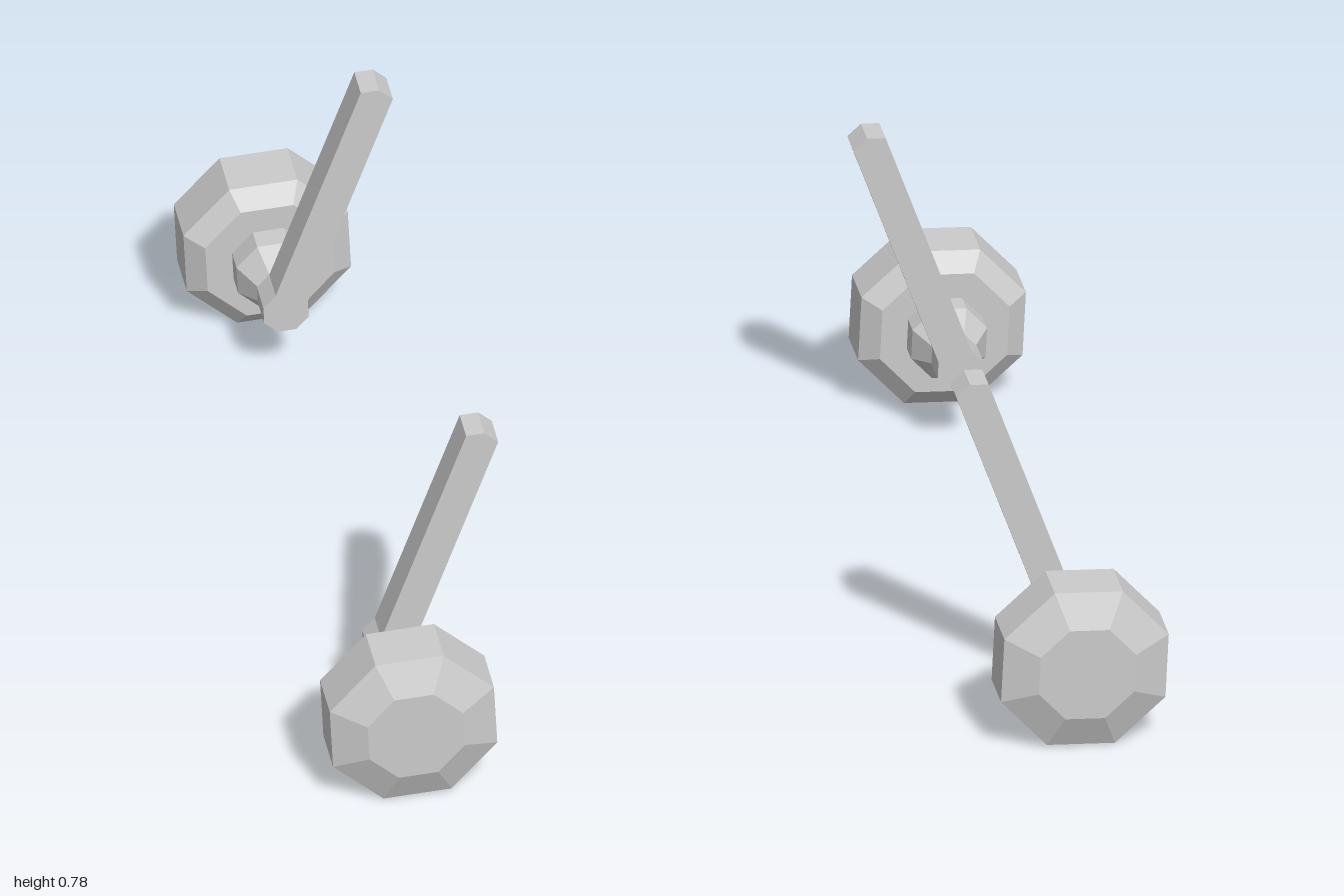
import * as THREE from 'three';

const material = new THREE.MeshStandardMaterial({ color: 0xcccccc, flatShading: true });
const TILT = THREE.MathUtils.degToRad(70.3); // lean of the arm

// Eight-sided turned part; profile pairs are [radius, distance from the middle]
function turned(name, profile, side) {
  const points = profile.map(([r, d]) => new THREE.Vector2(r, d));
  const mesh = new THREE.Mesh(new THREE.LatheGeometry(points, 8), material);
  mesh.name = name;
  mesh.rotation.x = side * Math.PI / 2;
  return mesh;
}

// Octagonal pivot whose three outer corners are drawn out into a long bar
function crankArm(side) {
  const r = 0.055, reach = 0.575, c = r * Math.SQRT1_2;
  const outline = [
    [c, -c], [c + reach, -c], [r + reach, 0], [c + reach, c],
    [c, c], [0, r], [-c, c], [-r, 0], [-c, -c], [0, -r],
  ].map(([x, y]) => new THREE.Vector2(x, y));
  const geometry = new THREE.ExtrudeGeometry(new THREE.Shape(outline), { depth: 0.08, bevelEnabled: false });
  geometry.translate(0, 0, side > 0 ? 0.612 : -0.692);
  const mesh = new THREE.Mesh(geometry, material);
  mesh.name = 'arm';
  return mesh;
}

export function createModel() {
  const model = new THREE.Group();
  model.name = 'wheelPair';
  for (const side of [1, -1]) {
    const assembly = new THREE.Group();
    assembly.name = side > 0 ? 'frontWheelAssembly' : 'backWheelAssembly';
    assembly.add(
      // Bevelled wheel
      turned('wheel', [[0, 0.81], [0.157, 0.81], [0.203, 0.845], [0.203, 0.965], [0.118, 1], [0, 1]], side),
      // Tapered hub joining wheel and arm
      turned('hub', [[0, 0.69], [0.05, 0.69], [0.092, 0.755], [0.092, 0.812]], side),
      crankArm(side),
    );
    assembly.position.set(-0.027, 0.192, 0);
    assembly.rotation.z = TILT;
    model.add(assembly);
  }
  return model;
}
